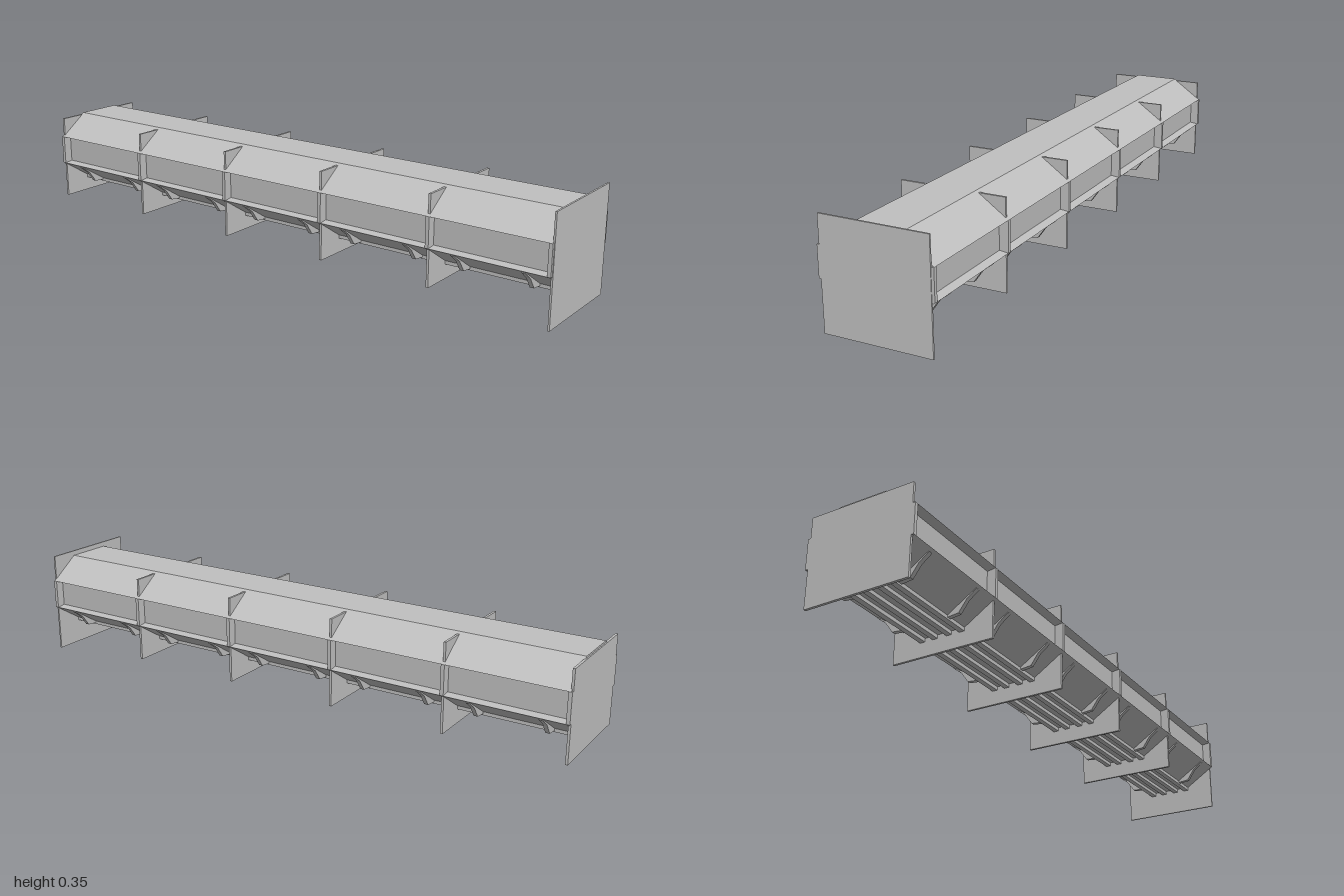
import * as THREE from 'three';

export function createModel() {
  const model = new THREE.Group();
  const grey = new THREE.MeshStandardMaterial({ color: 0xc0c0c0 });
  grey.name = 'hullGrey';

  const add = (name, geometry, x = 0, y = 0, z = 0) => {
    const mesh = new THREE.Mesh(geometry, grey);
    mesh.name = name;
    mesh.position.set(x, y, z);
    model.add(mesh);
    return mesh;
  };

  // Extrudes an outline in x and y along z, centred on z = 0
  const extrude = (points, depth) => {
    const shape = new THREE.Shape(points.map(([x, y]) => new THREE.Vector2(x, y)));
    return new THREE.ExtrudeGeometry(shape, { depth, bevelEnabled: false })
      .translate(0, 0, -depth / 2);
  };

  // Eight-sided hull with a long channel sunk into each side
  const half = [
    [0.08, 0.095], [0.186, 0.163], [0.156, 0.167],
    [0.156, 0.259], [0.186, 0.263], [0.08, 0.337],
  ];
  const mirrored = half.map(([x, y]) => [-x, y]).reverse();
  add('hull', extrude([...half, ...mirrored], 1.992));

  // Tall square plate closing the front
  add('frontPlate', new THREE.BoxGeometry(0.354, 0.354, 0.006), 0, 0.177, 0.997);

  // Frame plates, with posts that close the side channels
  const frameZ = [0.597, 0.199, -0.199, -0.597, -0.996];
  for (const z of frameZ) {
    add('framePlate', new THREE.BoxGeometry(0.354, 0.296, 0.008), 0, 0.183, z);
  }
  for (const z of [0.992, ...frameZ]) {
    add('framePost', new THREE.BoxGeometry(0.372, 0.1, 0.012), 0, 0.213,
      THREE.MathUtils.clamp(z, -0.994, 0.994));
  }

  // Rails running along the underside
  for (const x of [-0.07, -0.025, 0.025, 0.07]) {
    add('keelRail', new THREE.BoxGeometry(0.018, 0.018, 1.99), x, 0.092, 0);
  }

  // Pairs of bent arms under each bay
  const arm = [[0.08, 0.088], [0.118, 0.092], [0.145, 0.13], [0.178, 0.155], [0.17, 0.165], [0.08, 0.11]];
  const armRight = extrude(arm, 0.014);
  const armLeft = extrude(arm.map(([x, y]) => [-x, y]).reverse(), 0.014);
  for (let bay = -2; bay <= 2; bay++) {
    for (const offset of [-0.115, 0.115]) {
      add('undersideArm', armRight, 0, 0, bay * 0.398 + offset);
      add('undersideArm', armLeft, 0, 0, bay * 0.398 + offset);
    }
  }

  return model;
}
